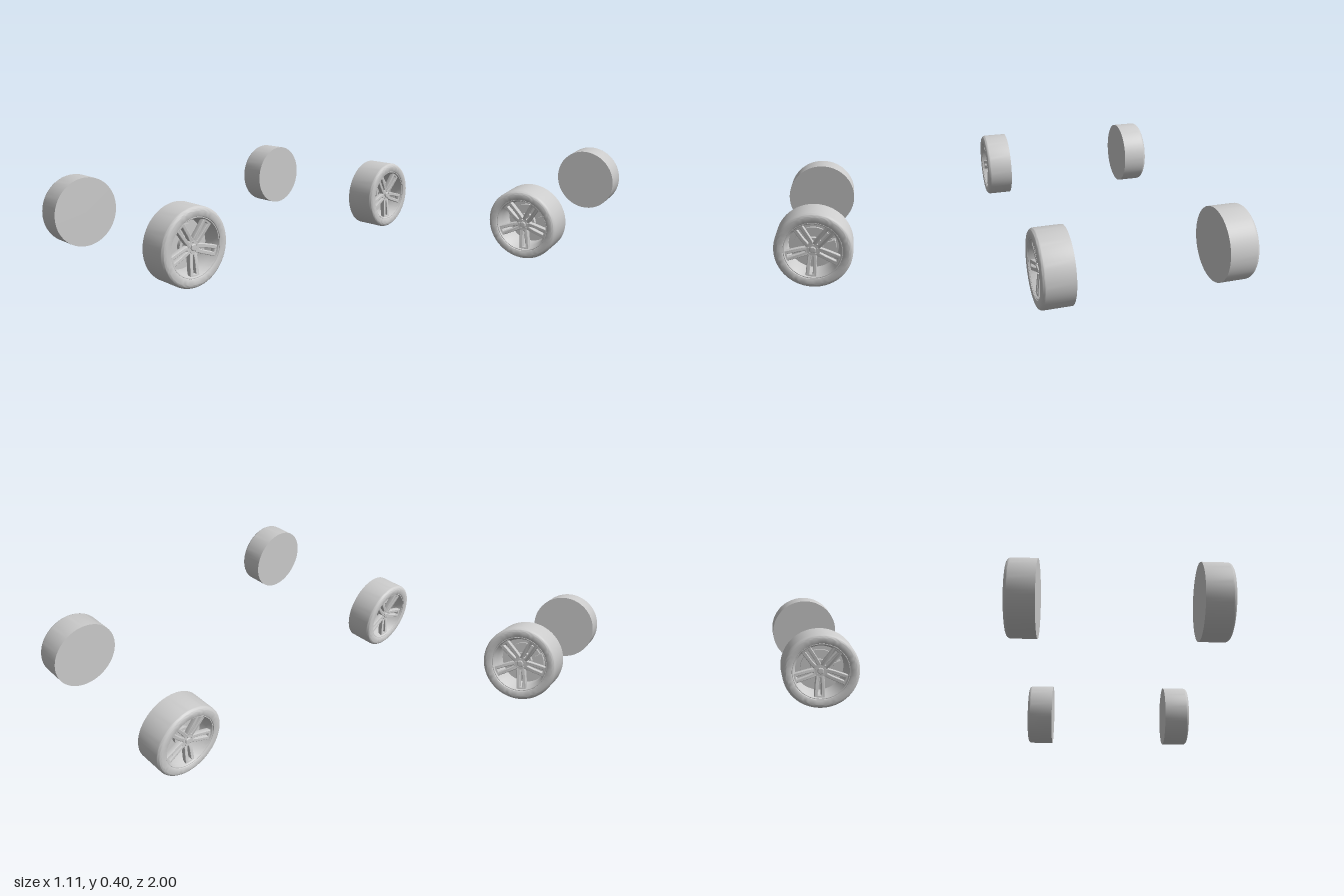
import * as THREE from 'three';
import { toCreasedNormals } from 'three/addons/utils/BufferGeometryUtils.js';

const material = new THREE.MeshStandardMaterial({ color: 0xcccccc });
const OUTER = 0.555; // distance of the wheel's outer face from the centre line
const R = 0.2;

function part(parent, name, geometry) {
  const mesh = new THREE.Mesh(geometry, material);
  mesh.name = name;
  parent.add(mesh);
  return mesh;
}

// Turned part around the z axis from [radius, z] points
function turned(points, segments = 72) {
  const g = new THREE.LatheGeometry(points.map(([r, z]) => new THREE.Vector2(r, z)), segments);
  return toCreasedNormals(g.rotateX(Math.PI / 2), 0.6);
}

function disc(radius, depth, z, segments = 40) {
  return new THREE.CylinderGeometry(radius, radius, depth, segments).rotateX(Math.PI / 2).translate(0, 0, z);
}

// Twin spoke: tapered plate with a long slot, sloping outward towards the rim
function spokeGeometry() {
  const shape = new THREE.Shape([
    [-0.017, 0.008], [0.017, 0.008], [0.022, 0.06], [0.025, 0.142], [-0.025, 0.142], [-0.022, 0.06],
  ].map(([x, y]) => new THREE.Vector2(x, y)));
  shape.holes.push(new THREE.Path([
    [-0.005, 0.036], [-0.009, 0.07], [-0.011, 0.134], [0.011, 0.134], [0.009, 0.07], [0.005, 0.036],
  ].map(([x, y]) => new THREE.Vector2(x, y))));
  const g = new THREE.ExtrudeGeometry(shape, {
    depth: 0.018, bevelEnabled: true, bevelThickness: 0.004, bevelSize: 0.003, bevelSegments: 2,
  });
  const p = g.attributes.position;
  for (let i = 0; i < p.count; i++) p.setZ(i, p.getZ(i) + 0.505 + 0.1 * p.getY(i));
  g.computeVertexNormals();
  return toCreasedNormals(g, 0.5);
}

// Wheel with its axle on z and its face towards +z
function makeWheel(inner) {
  const wheel = new THREE.Group();

  // Tyre with closed back and rounded outer shoulder
  const tyre = [[0, inner], [R, inner]];
  for (let i = 0; i <= 8; i++) {
    const a = (i / 8) * Math.PI / 2;
    tyre.push([R - 0.022 + 0.022 * Math.cos(a), OUTER - 0.022 + 0.022 * Math.sin(a)]);
  }
  tyre.push([0.158, OUTER], [0.152, OUTER - 0.003], [0.149, OUTER - 0.01]);
  part(wheel, 'tyre', turned(tyre));

  // Rim lip, barrel and back wall
  part(wheel, 'rim', turned([
    [0.152, 0.543], [0.15, 0.549], [0.146, 0.549], [0.142, 0.543], [0.139, 0.525],
    [0.132, 0.515], [0.129, 0.44], [0, 0.44],
  ]));

  // Brake disc, bell and caliper
  part(wheel, 'brakeDisc', disc(0.1, 0.012, 0.465, 56));
  part(wheel, 'brakeBell', disc(0.05, 0.03, 0.475));
  const caliper = new THREE.Shape();
  caliper.absarc(0, 0, 0.115, -0.4, 0.4, false);
  caliper.absarc(0, 0, 0.075, 0.4, -0.4, true);
  part(wheel, 'brakeCaliper', new THREE.ExtrudeGeometry(caliper, { depth: 0.035, bevelEnabled: false })
    .translate(0, 0, 0.45));

  // Five twin spokes, first one pointing down, with nuts between them
  const spoke = spokeGeometry();
  for (let k = 0; k < 5; k++) {
    const a = Math.PI + k * Math.PI * 2 / 5;
    part(wheel, 'spoke', spoke).rotation.z = a;
    const b = a + Math.PI / 5;
    part(wheel, 'wheelNut', disc(0.005, 0.012, 0.53, 6)).position.set(-0.025 * Math.sin(b), 0.025 * Math.cos(b), 0);
  }

  // Hub and centre cap
  part(wheel, 'hub', turned([[0, 0.47], [0.034, 0.47], [0.034, 0.526], [0.031, 0.53], [0, 0.53]], 40));
  part(wheel, 'centreCap', turned([[0.017, 0.525], [0.017, 0.535], [0.014, 0.538], [0, 0.539]], 32));
  return wheel;
}

export function createModel() {
  const model = new THREE.Group();
  model.name = 'wheelSet';
  // Rear wheels are slightly wider than the front ones
  for (const [end, z, inner] of [['front', 0.8, 0.402], ['rear', -0.8, 0.39]]) {
    for (const [side, s] of [['Left', 1], ['Right', -1]]) {
      const wheel = makeWheel(inner);
      wheel.name = `${end}${side}Wheel`;
      wheel.position.set(0, R, z);
      wheel.rotation.y = s * Math.PI / 2;
      model.add(wheel);
    }
  }
  return model;
}
